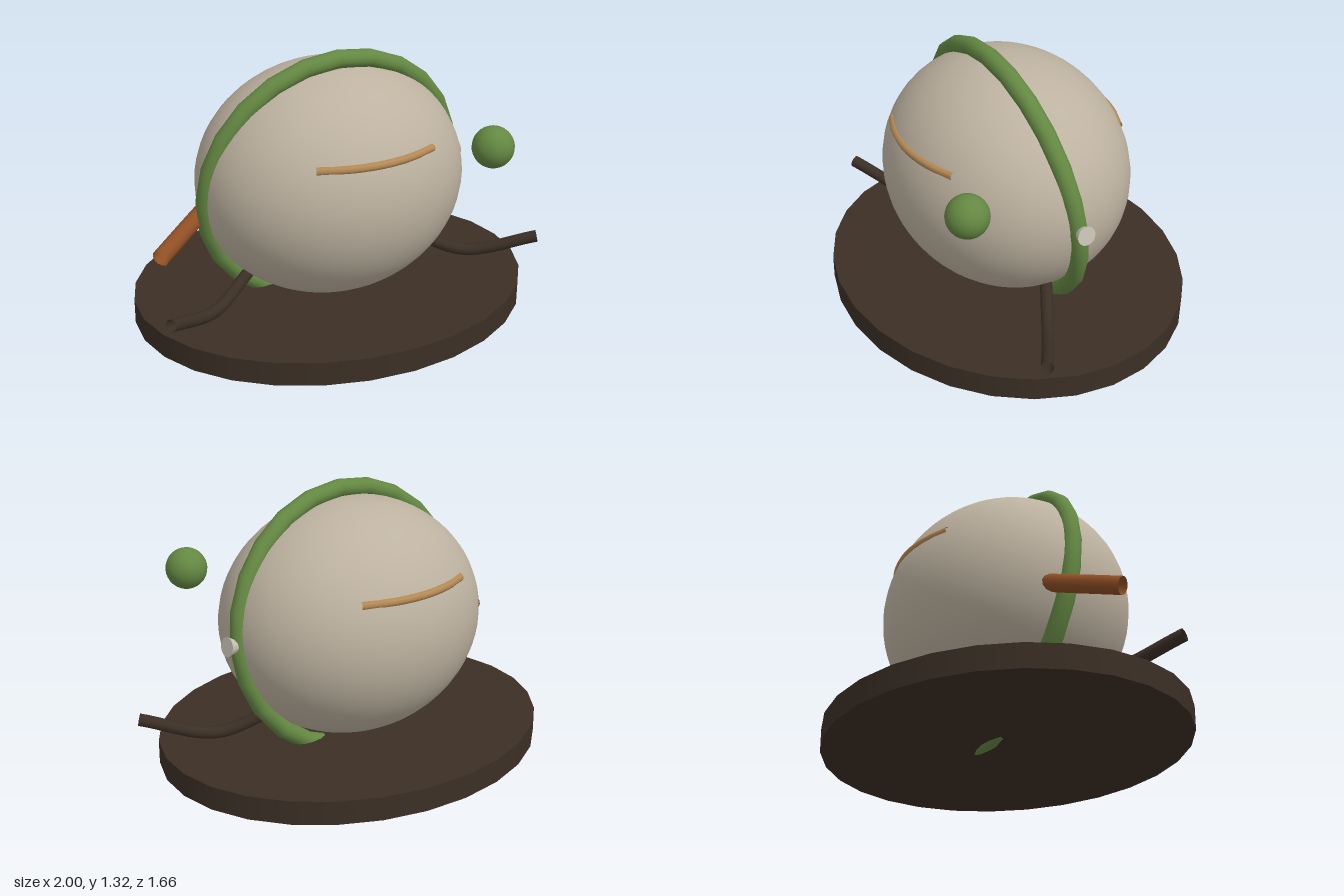
import * as THREE from 'three';

const V = (x, y, z) => new THREE.Vector3(x, y, z);
const mat = (name, color, side = THREE.FrontSide) => {
  const m = new THREE.MeshStandardMaterial({ color, side });
  m.name = name;
  return m;
};

export function createModel() {
  const model = new THREE.Group();
  const stone = mat('warm grey', 0xbdb2a0);
  const green = mat('leaf green', 0x648842);
  const bark = mat('dark bark', 0x3b2f25, THREE.DoubleSide);
  const rust = mat('rust brown', 0x8f4f24, THREE.DoubleSide);
  const tan = mat('tan', 0xb58a55, THREE.DoubleSide);
  const pale = mat('pale grey', 0xc9c2b5);

  const add = (name, geometry, material, x = 0, y = 0, z = 0) => {
    const mesh = new THREE.Mesh(geometry, material);
    mesh.name = name;
    mesh.position.set(x, y, z);
    model.add(mesh);
    return mesh;
  };
  const tube = (points, radius, segments, sides) =>
    new THREE.TubeGeometry(new THREE.CatmullRomCurve3(points), segments, radius, sides);

  // oval base plate
  add('base', new THREE.CylinderGeometry(1, 1, 0.115, 28), bark, 0, 0.077, 0).scale.set(0.98, 1, 0.83);

  // egg-shaped body
  add('body', new THREE.SphereGeometry(1, 48, 32), stone, 0, 0.68, 0).scale.set(0.66, 0.57, 0.57);

  // leaning hoop around the body
  const hoop = add('hoop', new THREE.TorusGeometry(0.65, 0.045, 12, 24), green, 0, 0.663, 0);
  hoop.scale.set(1, 0.96, 1);
  hoop.rotation.x = 0.138;

  // flared knob on the hoop
  const knob = add('knob', new THREE.CylinderGeometry(0.046, 0.022, 0.07, 16), pale, 0.685, 0.682, 0);
  knob.rotation.z = -Math.PI / 2 + 0.17;

  // floating ball
  add('ball', new THREE.SphereGeometry(0.1, 24, 16), green, 0.58, 0.893, 0.525);

  // straight spout on the right side
  add('spout', tube([V(-0.56, 0.6, -0.13), V(-0.74, 0.54, -0.015), V(-0.92, 0.478, 0.1)], 0.042, 8, 12), rust);

  // mirrored curved legs
  for (const [s, name] of [[1, 'leftLeg'], [-1, 'rightLeg']]) {
    add(name, tube([V(s * 0.45, 0.28, 0.04), V(s * 0.68, 0.188, 0.17), V(s * 0.983, 0.275, 0.36)], 0.03, 16, 10), bark);
  }

  // curved trim strips on the front and back
  for (const [s, name] of [[1, 'frontTrim'], [-1, 'backTrim']]) {
    const points = [-0.3, -0.16, 0, 0.16, 0.3].map(
      (x) => V(x, 0.913, s * (0.513 - 0.8 * x * x)));
    add(name, tube(points, 0.02, 12, 8), tan);
  }
  return model;
}
